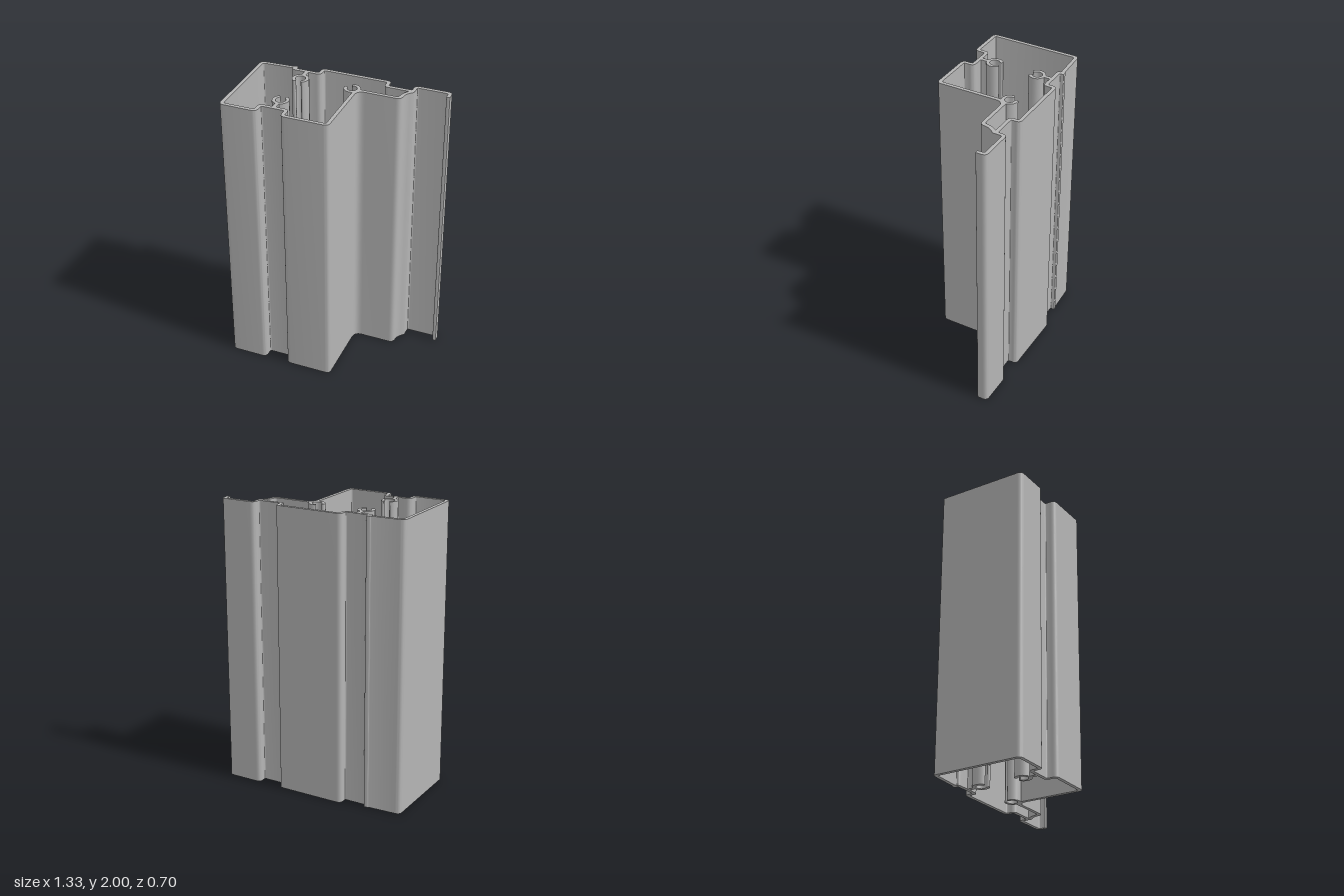
import * as THREE from 'three';
import { toCreasedNormals } from 'three/addons/utils/BufferGeometryUtils.js';

const HEIGHT = 2;

// Traces a closed outline of [x, z, cornerRadius] points onto a path
function roundedOutline(path, pts) {
  const n = pts.length;
  pts.forEach(([x, z, r = 0], i) => {
    const p = new THREE.Vector2(x, -z);
    const toward = ([qx, qz]) => {
      const d = new THREE.Vector2(qx, -qz).sub(p);
      return p.clone().add(d.setLength(Math.min(r, d.length() * 0.49)));
    };
    const a = toward(pts[(i + n - 1) % n]);
    const b = toward(pts[(i + 1) % n]);
    if (i === 0) path.moveTo(a.x, a.y);
    else path.lineTo(a.x, a.y);
    if (r > 0) path.quadraticCurveTo(p.x, p.y, b.x, b.y);
  });
  path.closePath();
  return path;
}

// Extrudes a plan shape upward, smooth on the rounded corners only
function extrudeUp(shape, material, name) {
  let geo = new THREE.ExtrudeGeometry(shape, { depth: HEIGHT, bevelEnabled: false, curveSegments: 7 });
  geo.rotateX(-Math.PI / 2);
  geo = toCreasedNormals(geo, 0.55);
  const mesh = new THREE.Mesh(geo, material);
  mesh.name = name;
  return mesh;
}

// C-shaped screw channel with rounded lips; "open" is the plan angle of its mouth
function screwPort(x, z, open, halfGap, rOut, rIn) {
  const s = new THREE.Shape();
  const cy = -z, a0 = open + halfGap, a1 = open - halfGap + Math.PI * 2;
  const mid = (rOut + rIn) / 2, lip = (rOut - rIn) / 2;
  s.absarc(x, cy, rOut, a0, a1, false);
  s.absarc(x + mid * Math.cos(a1), cy + mid * Math.sin(a1), lip, a1, a1 + Math.PI, false);
  s.absarc(x, cy, rIn, a1, a0, true);
  s.absarc(x + mid * Math.cos(a0), cy + mid * Math.sin(a0), lip, a0 + Math.PI, a0 + Math.PI * 2, false);
  return s;
}

export function createModel() {
  const group = new THREE.Group();
  group.name = 'frameProfile';
  const aluminium = new THREE.MeshStandardMaterial({ color: 0xb4b4b4 });
  aluminium.name = 'aluminium';

  // Outside of the wall, from the front left corner round to the back
  const R = 0.034;
  const wall = roundedOutline(new THREE.Shape(), [
    [-0.665, 0.348, R], [-0.402, 0.348, R], [-0.402, 0.274, 0.012],
    [-0.243, 0.274, 0.012], [-0.243, 0.348, R], [0.086, 0.348, R],
    // step and slanted web
    [0.086, -0.141, 0.055], [0.382, -0.141, R], [0.39, -0.215, 0.03], [0.431, -0.26, 0.008],
    // hooked flange
    [0.431, -0.325, 0.012], [0.64, -0.325, 0.012], [0.64, -0.277, 0.004],
    [0.665, -0.277, 0.004], [0.665, -0.35, R], [0.408, -0.35, R],
    // recessed back face
    [0.408, -0.286, 0.012], [0.247, -0.286, 0.012], [0.247, -0.35, R],
    [-0.243, -0.35, R], [-0.243, -0.286, 0.012], [-0.402, -0.286, 0.012],
    [-0.402, -0.315, 0.005], [-0.43, -0.314, 0.004], [-0.434, -0.308, 0.004],
    [-0.665, -0.296, R],
  ]);

  // Inside of the chamber, including the stems of the screw ports
  const chamber = roundedOutline(new THREE.Path(), [
    [-0.64, 0.323, 0.012], [-0.427, 0.323, 0.012], [-0.427, 0.249, R],
    [-0.335, 0.249, 0.006], [-0.335, 0.19], [-0.309, 0.19], [-0.309, 0.249, 0.006],
    [-0.218, 0.249, R], [-0.218, 0.323, 0.012], [0.061, 0.323, 0.012],
    [0.061, -0.115, 0.02], [0.095, -0.166], [0.356, -0.166, 0.012],
    [0.367, -0.222, 0.02], [0.395, -0.261, 0.008],
    [0.222, -0.261, R], [0.222, -0.325, 0.012], [-0.218, -0.325, 0.012],
    [-0.218, -0.261, R], [-0.309, -0.261, 0.006], [-0.309, -0.205],
    [-0.335, -0.205], [-0.335, -0.261, 0.006], [-0.427, -0.261, R],
    [-0.427, -0.284, 0.005], [-0.64, -0.272, 0.012],
  ]);
  wall.holes.push(chamber);
  group.add(extrudeUp(wall, aluminium, 'profileWall'));

  // Two ports on stems face each other, the third sits on the inside corner
  const ports = [
    ['backScrewPort', -0.322, -0.165, -Math.PI / 2, 0.68, 0.057, 0.034],
    ['frontScrewPort', -0.322, 0.151, Math.PI / 2, 0.68, 0.057, 0.034],
    ['cornerScrewPort', 0.042, -0.163, Math.PI * 0.77, 0.72, 0.056, 0.033],
  ];
  for (const [name, ...dims] of ports) {
    group.add(extrudeUp(screwPort(...dims), aluminium, name));
  }
  return group;
}
